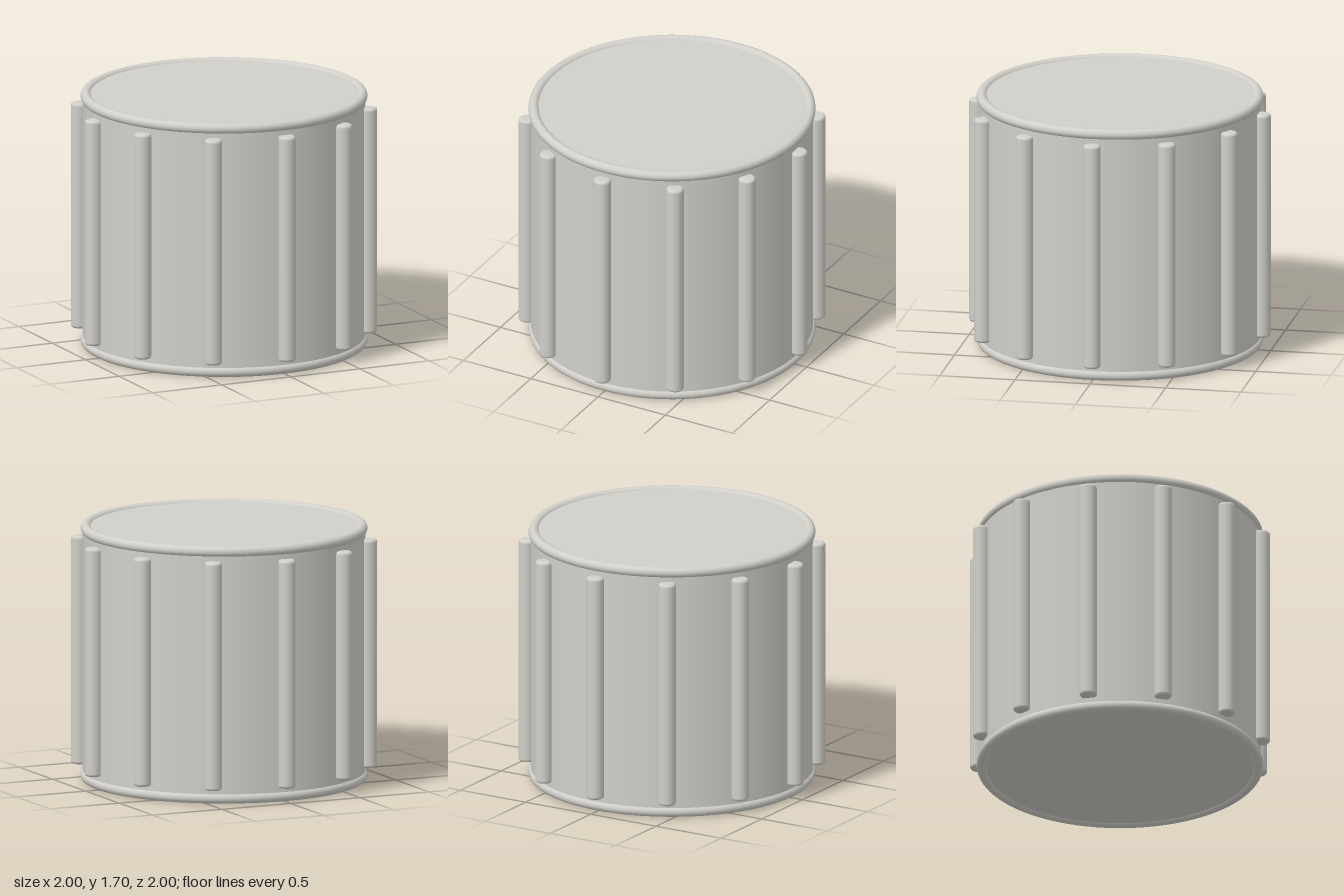
import * as THREE from 'three';

const HEIGHT = 1.7;

export function createModel() {
  const drum = new THREE.Group();
  drum.name = 'drum';
  const grey = new THREE.MeshStandardMaterial({ color: 0xd0cfc9 });
  grey.name = 'warm grey';

  const add = (name, geometry, x, y, z) => {
    const mesh = new THREE.Mesh(geometry, grey);
    mesh.name = name;
    mesh.position.set(x, y, z);
    drum.add(mesh);
  };

  // Shell with flat heads, set just inside the rims
  add('shell', new THREE.CylinderGeometry(0.92, 0.92, HEIGHT - 0.036, 96), 0, HEIGHT / 2, 0);

  // Round hoops at both ends
  const tube = 0.035;
  const hoop = new THREE.TorusGeometry(0.9, tube, 20, 96).rotateX(Math.PI / 2);
  add('bottomHoop', hoop, 0, tube, 0);
  add('topHoop', hoop, 0, HEIGHT - tube, 0);

  // Rod profile: straight sides, small rounded ends
  const r = 0.057, half = 0.755, bevel = 0.02;
  const profile = new THREE.Path();
  profile.moveTo(0, -half);
  profile.lineTo(r - bevel, -half);
  profile.absarc(r - bevel, -half + bevel, bevel, -Math.PI / 2, 0);
  profile.lineTo(r, half - bevel);
  profile.absarc(r - bevel, half - bevel, bevel, 0, Math.PI / 2);
  profile.lineTo(0, half);
  const rod = new THREE.LatheGeometry(profile.getPoints(6), 32);

  // Twelve rods around the shell
  for (let i = 0; i < 12; i++) {
    const a = (i / 12) * Math.PI * 2;
    add('tensionRod' + (i + 1), rod, Math.sin(a) * (1 - r), HEIGHT / 2, Math.cos(a) * (1 - r));
  }
  return drum;
}
